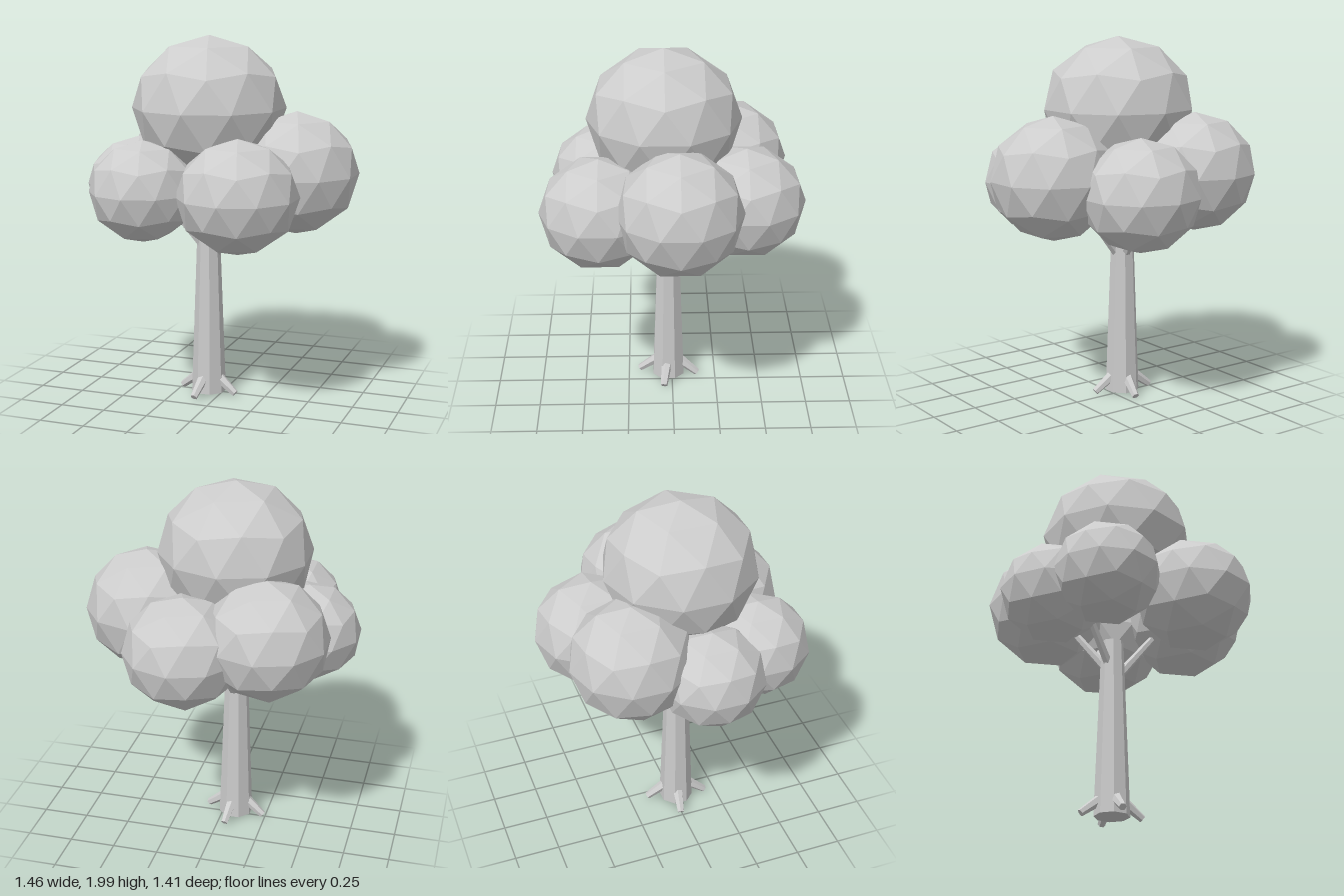
import * as THREE from 'three';

const grey = new THREE.MeshStandardMaterial({ color: 0xcccccc });
grey.name = 'plain grey';

// Faceted mesh: every face gets its own normal
function facetedMesh(geometry, name) {
  const flat = geometry.index ? geometry.toNonIndexed() : geometry;
  flat.computeVertexNormals();
  const mesh = new THREE.Mesh(flat, grey);
  mesh.name = name;
  return mesh;
}

// Tapered limb between two points
function limb(from, to, r0, r1, sides, name) {
  const a = new THREE.Vector3(...from);
  const axis = new THREE.Vector3(...to).sub(a);
  const length = axis.length();
  const geometry = new THREE.CylinderGeometry(r1, r0, length, sides);
  geometry.rotateY(Math.PI / sides);
  geometry.translate(0, length / 2, 0);
  const mesh = facetedMesh(geometry, name);
  mesh.quaternion.setFromUnitVectors(new THREE.Vector3(0, 1, 0), axis.normalize());
  mesh.position.copy(a);
  return mesh;
}

// Low-poly foliage ball with a corner pointing straight up
function foliageBall([x, y, z], radius, height, name) {
  const geometry = new THREE.IcosahedronGeometry(1, 1);
  geometry.rotateZ(-Math.atan(2 / (1 + Math.sqrt(5))));
  geometry.scale(radius, height, radius);
  geometry.translate(x, y, z);
  return facetedMesh(geometry, name);
}

export function createModel() {
  const tree = new THREE.Group();
  tree.name = 'tree';
  const cx = -0.073, cz = 0.02;

  // Trunk
  tree.add(limb([cx, 0.022, cz], [cx, 1.0, cz], 0.095, 0.06, 8, 'trunk'));

  // Four short roots, turned slightly off the axes
  for (let i = 0; i < 4; i++) {
    const angle = 0.17 + i * Math.PI / 2;
    const c = Math.cos(angle), s = Math.sin(angle);
    tree.add(limb(
      [cx + c * 0.065, 0.105, cz + s * 0.065],
      [cx + c * 0.168, 0.026, cz + s * 0.168],
      0.03, 0.02, 6, 'root'));
  }

  // Branches: angle around the trunk, starting height
  for (const [degrees, y] of [[0, 0.81], [-80, 0.81], [-140, 0.85], [155, 0.86]]) {
    const angle = THREE.MathUtils.degToRad(degrees);
    const c = Math.cos(angle), s = Math.sin(angle);
    tree.add(limb(
      [cx + c * 0.035, y, cz + s * 0.035],
      [cx + c * 0.25, y + 0.27, cz + s * 0.25],
      0.026, 0.018, 6, 'branch'));
  }

  // Crown
  const balls = [
    ['topFoliage', [-0.06, 1.615, 0.042], 0.415, 0.385],
    ['leftFoliage', [0.41, 1.275, -0.03], 0.335, 0.33],
    ['frontLeftFoliage', [0.22, 1.2, 0.385], 0.32, 0.3],
    ['frontRightFoliage', [-0.305, 1.2, 0.38], 0.285, 0.27],
    ['rightFoliage', [-0.455, 1.185, 0.07], 0.288, 0.265],
    ['backRightFoliage', [-0.31, 1.285, -0.31], 0.33, 0.32],
    ['backLeftFoliage', [0.11, 1.205, -0.39], 0.32, 0.3],
  ];
  for (const [name, center, radius, height] of balls) {
    tree.add(foliageBall(center, radius, height, name));
  }

  return tree;
}
